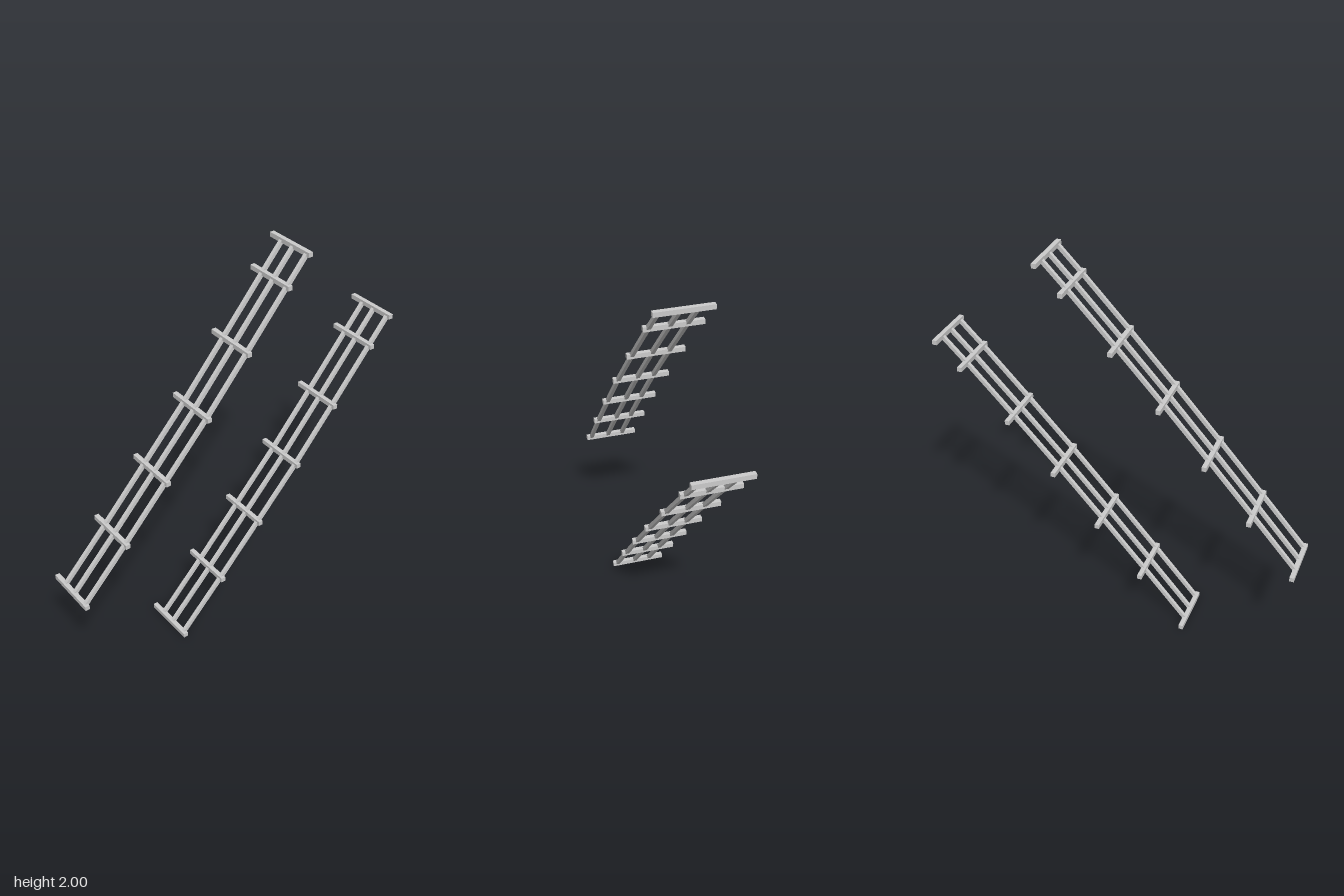
import * as THREE from 'three';

// Stations along one ladder: [x, y, z] of each crossbar centre
const STATIONS = [
  [-0.941, 0.523, -0.0025], [-0.701, 0.79, 0.0065], [-0.462, 1.057, 0.011], [-0.222, 1.323, 0.0135],
  [0.017, 1.59, 0.006], [0.257, 1.856, -0.005], [0.379, 1.988, -0.0125],
].map((p) => new THREE.Vector3(...p));
const RAIL_OFFSETS = [0.118, 0.0185, -0.065];
const BAR = 0.024;
const BAR_LENGTH = 0.288;
const RAIL = 0.019;

const material = new THREE.MeshStandardMaterial({ color: 0xcccccc, flatShading: true });

function addMesh(parent, geometry, name) {
  const mesh = new THREE.Mesh(geometry, material);
  mesh.name = name;
  parent.add(mesh);
  return mesh;
}

// Square rail: a box whose rings are moved onto the stations
function railGeometry() {
  const n = STATIONS.length - 1;
  const geometry = new THREE.BoxGeometry(RAIL, n, RAIL, 1, n, 1);
  const along = STATIONS[n].clone().sub(STATIONS[0]).setZ(0).normalize();
  const across = new THREE.Vector3(along.y, -along.x, 0);
  const pos = geometry.attributes.position;
  const v = new THREE.Vector3();
  for (let i = 0; i < pos.count; i++) {
    v.fromBufferAttribute(pos, i);
    const s = STATIONS[Math.round(v.y + n / 2)];
    pos.setXYZ(i, s.x + across.x * v.x, s.y + across.y * v.x, s.z + v.z);
  }
  geometry.computeVertexNormals();
  return geometry;
}

function createLadder(name) {
  const ladder = new THREE.Group();
  ladder.name = name;

  // Three gently bowed rails
  const rail = railGeometry();
  RAIL_OFFSETS.forEach((z, i) => {
    addMesh(ladder, rail, `rail${i + 1}`).position.z = z;
  });

  // Crossbars, closer together at the top end
  const bar = new THREE.BoxGeometry(BAR, BAR, BAR_LENGTH);
  STATIONS.forEach((s, i) => {
    addMesh(ladder, bar, `crossbar${i + 1}`).position.copy(s);
  });
  return ladder;
}

export function createModel() {
  const model = new THREE.Group();
  model.name = 'slopedRacks';

  // Two identical racks, one above the other
  const upper = createLadder('upperRack');
  const lower = createLadder('lowerRack');
  lower.position.set(0.561, -0.511, 0);
  model.add(upper, lower);
  return model;
}
